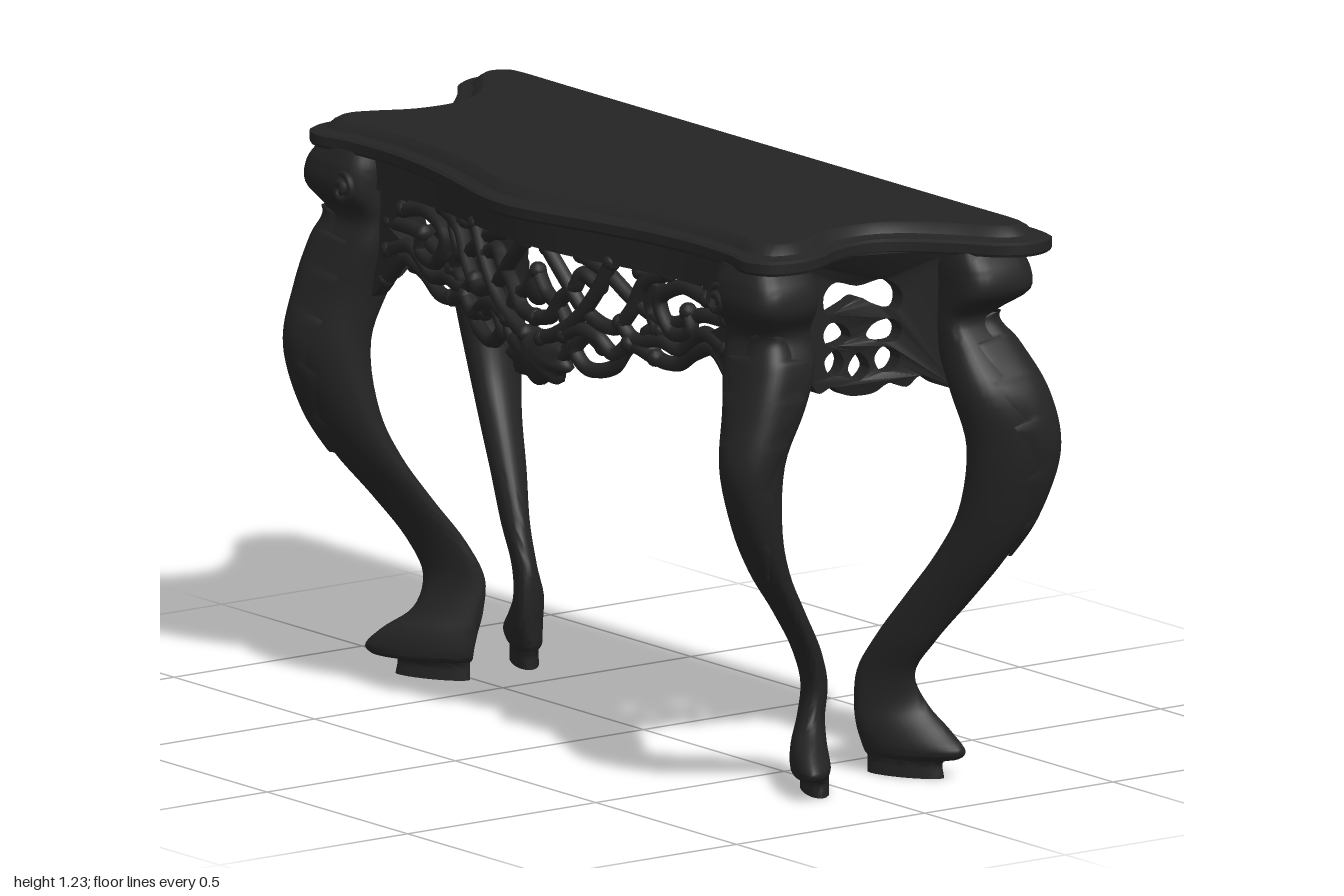
import * as THREE from 'three';
import { mergeVertices, toCreasedNormals } from 'three/addons/utils/BufferGeometryUtils.js';

const V = (x, y, z) => new THREE.Vector3(x, y, z);

// Skin between rings of points (bottom to top); closed rings get fan caps
function loft(rings, closed = true) {
  const n = rings[0].length, pos = [], idx = [];
  rings.forEach(r => r.forEach(p => pos.push(p.x, p.y, p.z)));
  for (let k = 0; k < rings.length - 1; k++) {
    for (let i = 0; i < (closed ? n : n - 1); i++) {
      const a = k * n + i, b = k * n + (i + 1) % n;
      idx.push(a, a + n, b, b, a + n, b + n);
    }
  }
  if (closed) {
    const last = (rings.length - 1) * n, c = pos.length / 3;
    [rings[0], rings[rings.length - 1]].forEach((r, e) => {
      const m = r.reduce((s, p) => s.add(p), V(0, 0, 0)).divideScalar(n);
      pos.push(m.x, m.y, m.z);
      for (let i = 0; i < n; i++) {
        const j = (i + 1) % n;
        if (e) idx.push(c + 1, last + j, last + i);
        else idx.push(c, i, j);
      }
    });
  }
  const g = new THREE.BufferGeometry();
  g.setAttribute('position', new THREE.Float32BufferAttribute(pos, 3));
  g.setIndex(idx);
  g.computeVertexNormals();
  return g;
}

// Copy a geometry to the other side, keeping faces outward
function mirrored(geo) {
  const g = geo.index ? geo.clone() : mergeVertices(geo);
  g.scale(-1, 1, 1);
  const a = g.index.array;
  for (let i = 0; i < a.length; i += 3) [a[i], a[i + 1]] = [a[i + 1], a[i]];
  return g;
}

// Move every vertex by a rule
function reshape(geo, rule) {
  const p = geo.attributes.position;
  for (let i = 0; i < p.count; i++) p.setXYZ(i, ...rule(p.getX(i), p.getY(i), p.getZ(i)));
  geo.computeVertexNormals();
  return geo;
}

// Half outlines of the top, front centre round to back centre: [x, z]
const OUTER = [[0, .38], [.1, .367], [.25, .327], [.4, .295], [.55, .28], [.68, .285], [.76, .3], [.82, .272], [.838, .2],
  [.82, .135], [.785, .07], [.775, -.02], [.81, -.09], [.89, -.17], [.965, -.23], [.993, -.29], [.975, -.35], [.92, -.38],
  [.7, -.38], [.35, -.38], [0, -.38]];
const INNER = [[0, .315], [.09, .306], [.23, .27], [.38, .24], [.53, .228], [.65, .23], [.72, .237], [.76, .225], [.772, .19],
  [.755, .14], [.72, .06], [.715, -.04], [.75, -.13], [.825, -.205], [.89, -.25], [.913, -.28], [.905, -.308], [.87, -.32],
  [.7, -.32], [.35, -.32], [0, -.32]];

function outline(half) {
  const left = half.slice(1, -1).reverse().map(([x, z]) => [-x, z]);
  const pts = [...half, ...left].map(([x, z]) => V(x, 0, z));
  return new THREE.CatmullRomCurve3(pts, true, 'catmullrom', .5).getPoints(200).slice(0, -1).reverse();
}

// Leg sections from foot block to knee: [y, x0, x1, z0, z1]
const FRONT_LEG = [[0, .6, .757, .005, .1], [.036, .6, .757, .005, .1], [.044, .595, .785, 0, .142], [.06, .59, .8, 0, .152],
  [.1, .585, .765, -.005, .135], [.15, .58, .71, -.015, .09], [.22, .58, .7, -.02, .07], [.3, .595, .72, .015, .1],
  [.4, .62, .755, .085, .17], [.5, .64, .79, .15, .25], [.6, .655, .82, .19, .307], [.75, .665, .838, .197, .35],
  [.87, .65, .84, .155, .32], [.97, .625, .825, .13, .285], [1.03, .62, .8, .13, .268], [1.09, .62, .835, .13, .307],
  [1.14, .62, .83, .13, .305], [1.18, .63, .8, .14, .29]];
const BACK_LEG = [[0, .6, .757, -.24, -.14], [.036, .6, .757, -.24, -.14], [.044, .595, .785, -.262, -.135], [.06, .59, .8, -.268, -.13],
  [.1, .585, .76, -.258, -.12], [.15, .58, .71, -.235, -.118], [.22, .585, .7, -.205, -.122], [.3, .63, .755, -.22, -.135],
  [.4, .7, .83, -.265, -.16], [.5, .77, .905, -.305, -.185], [.6, .825, .96, -.345, -.198], [.75, .855, 1, -.38, -.19],
  [.87, .83, .985, -.36, -.165], [.97, .79, .915, -.325, -.165], [1.03, .78, .885, -.29, -.165], [1.09, .77, .955, -.345, -.165],
  [1.14, .77, .95, -.345, -.165], [1.18, .78, .92, -.33, -.17]];

// Oval sections slanted along the leg's diagonal below, squarer at the knee
function legSections(rows, dir) {
  const mid = new THREE.CatmullRomCurve3(rows.map(([y, a, b, c, d]) => V((a + b) / 2, y, (c + d) / 2)));
  const rad = new THREE.CatmullRomCurve3(rows.map(([y, a, b, c, d]) => V((b - a) / 2, y, (d - c) / 2)));
  return (t, a, grow = 0) => {
    const m = mid.getPoint(t), r = rad.getPoint(t);
    const slant = dir * THREE.MathUtils.clamp(.95 - .95 * m.y, 0, .85);
    const power = 1 - .4 * THREE.MathUtils.smoothstep(m.y, .75, 1);
    const pw = v => Math.sign(v) * Math.abs(v) ** power;
    return V(m.x + pw(Math.cos(a)) * (r.x + grow), m.y, m.z + pw(Math.sin(a + slant)) * (r.z + grow));
  };
}

// Front apron bows forward at the centre
const bow = x => .22 + (Math.abs(x) < .5 ? .03 * (1 + Math.cos(Math.PI * x / .5)) : 0);
// Side apron bends out towards the back leg
const sideX = z => .71 + (z < .05 ? .1 * ((.05 - z) / .22) ** 2 : 0);

// Carved scrolls of the front apron, left half: [x, y]
const SCROLLS = [
  [[.62, .9], [.55, .96], [.48, .94], [.42, .905], [.36, .91], [.33, .96], [.37, .97]],
  [[.36, .91], [.29, .925], [.24, .87], [.17, .855], [.13, .89], [.17, .93], [.21, .91]],
  [[.54, 1.07], [.45, 1.08], [.38, 1.04], [.42, .975], [.48, .99], [.47, 1.03]],
  [[.6, 1.03], [.5, 1.025], [.4, .99], [.3, 1.02], [.22, 1.07], [.14, 1.1]],
  [[.4, 1.1], [.33, 1.07], [.29, 1], [.24, .955], [.16, .98], [.1, 1.04], [.04, 1.1]],
  [[.24, 1.1], [.2, 1.03], [.14, .96], [.08, .92], [.03, .9]],
  [[.06, .85], [.11, .9], [.08, .97], [.03, 1], [0, 1.04]],
  [[.6, .97], [.52, .99], [.44, .94], [.38, .95], [.3, .94], [.26, .97]],
  [[.29, .93], [.25, .9], [.2, .93], [.15, .94], [.1, .92]],
  [[.36, .97], [.34, 1.02], [.36, 1.07], [.31, 1.09]],
  [[.2, 1.04], [.15, 1.06], [.13, 1.03], [.09, 1], [.05, .95], [0, .94]]];

// Openings of the side apron: [z, y]
const SIDE_HOLES = [
  [[.063, 1.085], [.035, 1.112], [-.02, 1.1], [-.075, 1.112], [-.106, 1.085], [-.1, 1.045], [-.05, 1.06], [-.022, 1.075], [.005, 1.06], [.055, 1.045]],
  [[.063, 1.005], [.045, 1.025], [.01, 1.015], [-.005, .99], [.02, .975], [.055, .978]],
  [[-.106, 1.005], [-.088, 1.025], [-.053, 1.015], [-.038, .99], [-.062, .975], [-.098, .978]],
  [[.06, .945], [.03, .965], [.012, .94], [.025, .91], [.048, .912]],
  [[-.103, .945], [-.073, .965], [-.055, .94], [-.068, .91], [-.091, .912]],
  [[-.022, .955], [.002, .92], [-.022, .892], [-.045, .92]]];

export function createModel() {
  const model = new THREE.Group();
  const wood = new THREE.MeshStandardMaterial({ color: 0x242424, side: THREE.DoubleSide });
  wood.name = 'dark wood';
  const add = (name, geo) => {
    const m = new THREE.Mesh(geo, wood);
    m.name = name;
    model.add(m);
  };
  const addPair = (name, geo) => { add(name + 'Left', geo); add(name + 'Right', mirrored(geo)); };

  // Moulded top
  const outer = outline(OUTER), inner = outline(INNER);
  const profile = [[.25, 1.172], [.04, 1.174], [0, 1.18], [0, 1.2], [.12, 1.205], [.35, 1.207], [.5, 1.211], [.68, 1.224], [.85, 1.231], [1, 1.231]];
  add('tableTop', toCreasedNormals(loft(profile.map(([t, y]) =>
    outer.map((p, i) => p.clone().lerp(inner[i], t).setY(y)))), .3));

  // Cabriole legs with foot blocks and jagged leaf carving
  [['frontLeg', FRONT_LEG, 1], ['backLeg', BACK_LEG, -1]].forEach(([name, rows, dir]) => {
    const at = legSections(rows, dir), rings = [], leaf = [];
    for (let k = 0; k <= 85; k++) rings.push([...Array(32)].map((_, i) => at(k / 85, i / 32 * Math.PI * 2)));
    addPair(name, toCreasedNormals(loft(rings), 1));
    for (let k = 0; k <= 48; k++) {
      const u = k / 48, tooth = .72 + .28 * ((u * 6) % 1);
      const w = 1.35 * Math.sin(Math.PI * (.06 + .8 * u)) * tooth;
      leaf.push([...Array(15)].map((_, i) => at(.53 + .3 * u, dir * Math.PI / 4 + (i / 7 - 1) * w, .009 - .008 * Math.abs(i / 7 - 1) ** 4)));
    }
    addPair(name + 'Leaf', loft(leaf, false));
  });

  // Small scrolls on the front knees
  const curl = [...Array(26)].map((_, i) => {
    const a = i * .42, r = .036 - i * .0012;
    return V(.665 + r * Math.cos(a), 1.1 + r * Math.sin(a), .295 + i * .0006);
  });
  addPair('kneeScroll', new THREE.TubeGeometry(new THREE.CatmullRomCurve3(curl), 60, .009, 6));

  // Rails under the top
  const rail = new THREE.BoxGeometry(1.3, .08, .05, 40, 1, 1);
  add('frontRail', toCreasedNormals(reshape(rail, (x, y, z) => [x, y + 1.138, z + bow(x)]), .6));
  add('backRail', new THREE.BoxGeometry(1.6, .075, .04).translate(0, 1.14, -.3));

  // Pierced scrollwork of the front apron
  SCROLLS.forEach((pts, k) => {
    const path = new THREE.CatmullRomCurve3(pts.map(([x, y]) => V(x, y, bow(x) + .006 * (k % 3))));
    addPair('apronScroll' + (k + 1), new THREE.TubeGeometry(path, 48, .017, 7));
    [pts[0], pts[pts.length - 1]].forEach(([x, y]) =>
      addPair('scrollEnd', new THREE.SphereGeometry(.02, 10, 8).translate(x, y, bow(x) + .006 * (k % 3))));
  });

  // Solid wings where the front apron meets the legs
  const wing = new THREE.Shape([[.68, .84], [.635, .87], [.595, .915], [.56, .955], [.55, 1], [.59, 1.02], [.57, 1.05], [.53, 1.07], [.52, 1.11], [.68, 1.11]]
    .map(p => new THREE.Vector2(...p)));
  addPair('apronWing', new THREE.ExtrudeGeometry(wing, { depth: .035, bevelEnabled: false }).translate(0, 0, .2));

  // Fluted shell at the centre of the front apron
  const shell = reshape(new THREE.SphereGeometry(1, 56, 20), (x, y, z) => {
    const a = Math.atan2(x, -y), f = 1 + .09 * Math.cos(a * 9) * Math.hypot(x, y);
    return [x * .105 * f, .855 + y * .06 * f, .275 + z * .035 * f];
  });
  add('apronShell', shell);
  add('apronBud', new THREE.SphereGeometry(1, 20, 12).scale(.035, .035, .022).translate(0, 1, .28));

  // Pierced side aprons
  const side = new THREE.Shape();
  side.moveTo(.17, 1.178);
  side.lineTo(.17, .87);
  side.splineThru([[.13, .88], [.1, .9], [.075, .875], [.04, .885], [.01, .865], [-.022, .86], [-.055, .865], [-.085, .885], [-.115, .875], [-.14, .9], [-.17, .88], [-.2, .87]]
    .map(p => new THREE.Vector2(...p)));
  side.lineTo(-.2, 1.178);
  side.closePath();
  SIDE_HOLES.forEach(pts => {
    const v = pts.map(([z, y]) => V(z, y, 0));
    const c = new THREE.CatmullRomCurve3(v, true).getPoints(36).slice(0, -1);
    side.holes.push(new THREE.Path(c.map(p => new THREE.Vector2(p.x, p.y))));
  });
  const panel = new THREE.ExtrudeGeometry(side, { depth: .035, bevelEnabled: false, curveSegments: 4 });
  addPair('sideApron', toCreasedNormals(reshape(panel, (u, y, w) => [sideX(u) + .015 - w, y, u]), .6));

  return model;
}
